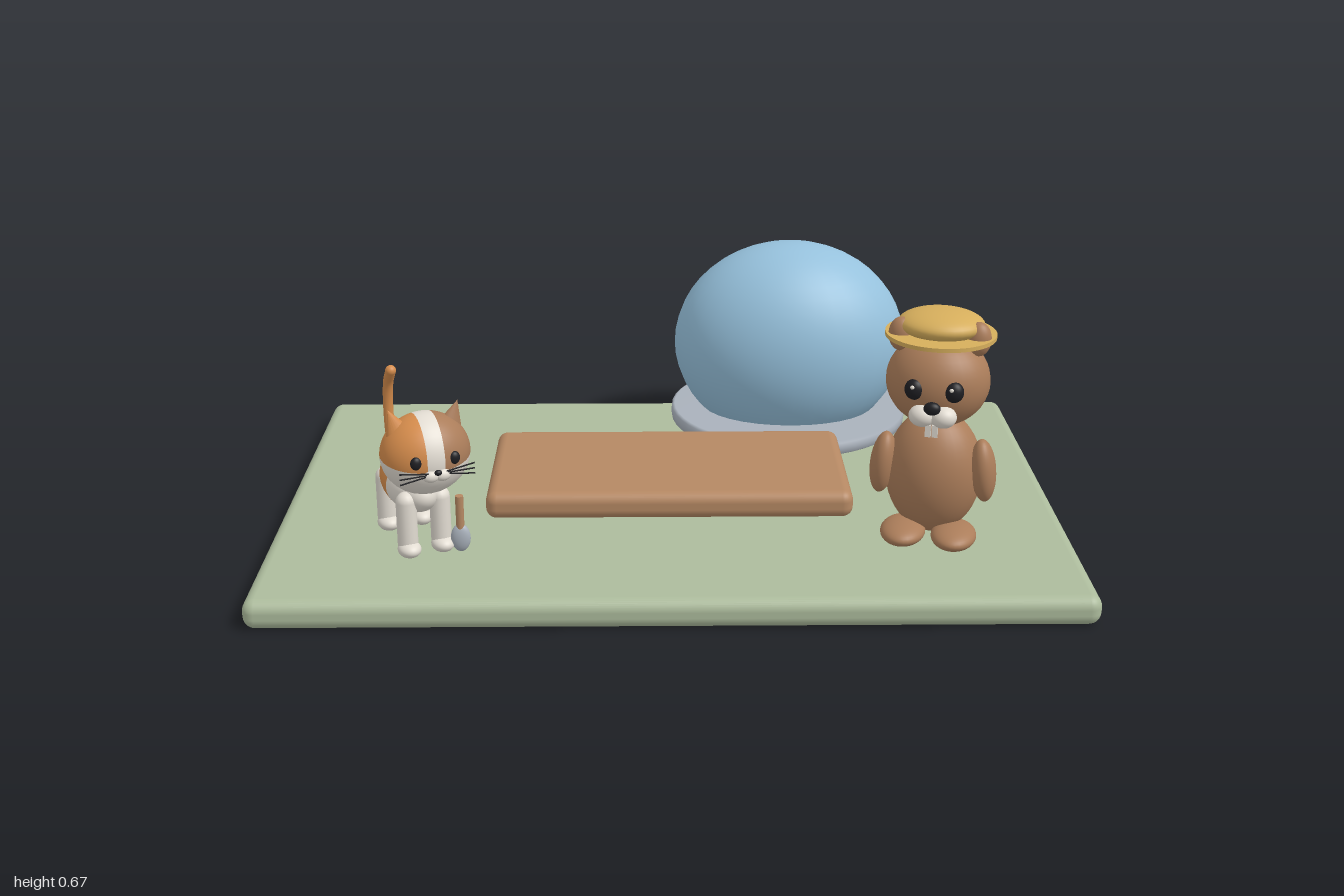
import * as THREE from 'three';
import { RoundedBoxGeometry } from 'three/addons/geometries/RoundedBoxGeometry.js';

const mat = (name, color) => {
  const m = new THREE.MeshStandardMaterial({ color });
  m.name = name;
  return m;
};

export function createModel() {
  const green = mat('sage green', 0xacbb9c);
  const wood = mat('wood brown', 0xb58863);
  const fur = mat('fur brown', 0xab7d5a);
  const blue = mat('sky blue', 0x96c1dc);
  const grey = mat('cool grey', 0xa9b1bb);
  const straw = mat('straw yellow', 0xd6ae5c);
  const orange = mat('orange', 0xd58c4c);
  const white = mat('warm white', 0xe2dcd2);
  const black = mat('black', 0x1e1e22);

  const add = (parent, name, geo, m, p = [0, 0, 0], s = [1, 1, 1], r = [0, 0, 0]) => {
    const mesh = new THREE.Mesh(geo, m);
    mesh.name = name;
    mesh.position.set(...p);
    mesh.scale.set(...s);
    mesh.rotation.set(...r);
    parent.add(mesh);
    return mesh;
  };
  const ball = new THREE.SphereGeometry(1, 32, 24);
  const blob = (parent, name, m, p, s, r) => add(parent, name, ball, m, p, s, r);
  const group = (parent, name, p, ry = 0) => {
    const g = new THREE.Group();
    g.name = name;
    g.position.set(...p);
    g.rotation.y = ry;
    parent.add(g);
    return g;
  };
  const model = new THREE.Group();
  model.name = 'scene';

  // Ground slab and wooden platform
  add(model, 'ground', new RoundedBoxGeometry(2, 0.074, 1.33, 4, 0.03), green, [0, 0.037, 0.095]);
  add(model, 'platform', new RoundedBoxGeometry(0.934, 0.072, 0.456, 4, 0.028), wood, [-0.003, 0.117, 0.094]);

  // Dome on a round plinth with softened rims
  const rim = [[0, 0.08], [0.33, 0.08], [0.338, 0.085], [0.34, 0.1], [0.338, 0.115], [0.33, 0.12], [0, 0.12]]
    .map(([x, y]) => new THREE.Vector2(x, y));
  add(model, 'plinth', new THREE.LatheGeometry(rim, 48), grey, [0.35, 0, -0.427]);
  blob(model, 'dome', blue, [0.35, 0.312, -0.425], [0.33, 0.293, 0.248]);

  // Standing rodent with a straw hat
  const b = group(model, 'rodent', [0.645, 0, 0.41], -0.25);
  blob(b, 'body', fur, [0, 0.255, 0], [0.118, 0.158, 0.104]);
  blob(b, 'head', fur, [0, 0.497, 0.014], [0.125, 0.115, 0.11]);
  blob(b, 'tail', fur, [0, 0.175, -0.155], [0.07, 0.033, 0.112], [0.1, 0, 0]);
  for (const s of [-1, 1]) {
    blob(b, 'arm', fur, [s * 0.122, 0.277, 0.03], [0.031, 0.08, 0.042], [0, 0, s * 0.1]);
    blob(b, 'foot', fur, [s * 0.062, 0.115, 0.065], [0.055, 0.028, 0.08]);
    blob(b, 'ear', fur, [s * 0.092, 0.61, 0.03], [0.03, 0.042, 0.026]);
    blob(b, 'eye', black, [s * 0.046, 0.5, 0.108], [0.024, 0.026, 0.02]);
    blob(b, 'eyeGlint', white, [s * 0.046 - 0.004, 0.51, 0.127], [0.005, 0.005, 0.004]);
    blob(b, 'muzzle', white, [s * 0.024, 0.438, 0.115], [0.033, 0.027, 0.03]);
    add(b, 'tooth', new THREE.BoxGeometry(0.014, 0.03, 0.01), white, [s * 0.008, 0.406, 0.128]);
  }
  blob(b, 'nose', black, [0, 0.467, 0.143], [0.02, 0.016, 0.014]);
  add(b, 'hatBrim', new THREE.CylinderGeometry(0.133, 0.133, 0.01, 40), straw, [0, 0.608, 0]);
  blob(b, 'hatCrown', straw, [0, 0.633, 0], [0.104, 0.036, 0.094]);

  // Calico cat
  const c = group(model, 'cat', [-0.64, 0, 0.42], 0.42);
  // Body as a sphere with its pole forward: white chest, orange hindquarters
  const bodyPart = (name, m, t0, t1) => {
    const g = new THREE.SphereGeometry(1, 32, 16, 0, Math.PI * 2, t0, t1 - t0);
    g.rotateX(Math.PI / 2);
    add(c, name, g, m, [0, 0.235, -0.005], [0.066, 0.064, 0.138]);
  };
  bodyPart('chest', white, 0, 1.45);
  bodyPart('hindquarters', orange, 1.45, Math.PI);
  for (const s of [-1, 1]) {
    for (const z of [0.1, -0.075]) {
      add(c, 'leg', new THREE.CapsuleGeometry(0.025, 0.11, 6, 16), white, [s * 0.042, 0.172, z]);
      blob(c, 'paw', white, [s * 0.042, 0.107, z + 0.01], [0.028, 0.02, 0.034]);
    }
  }
  const tailPath = new THREE.CatmullRomCurve3(
    [[0, 0.25, -0.115], [0, 0.29, -0.155], [0, 0.37, -0.167], [0, 0.44, -0.155], [0, 0.482, -0.125]]
      .map(p => new THREE.Vector3(...p)));
  add(c, 'tail', new THREE.TubeGeometry(tailPath, 24, 0.013, 12), orange);
  blob(c, 'tailTip', orange, [0, 0.482, -0.125], [0.0135, 0.0135, 0.0135]);

  // Head patches: a sphere with its poles at the cheeks, split into bands
  const h = group(c, 'head', [0, 0.363, 0.14]);
  const patch = (name, m, p0, p1, t0, t1) => {
    const g = new THREE.SphereGeometry(1, 24, 16, p0, p1 - p0, t0, t1 - t0);
    g.rotateZ(-Math.PI / 2);
    add(h, name, g, m, [0, 0, 0], [0.108, 0.1, 0.092]);
  };
  const edge = 1.75, mid = Math.PI / 2, half = 0.2;
  patch('leftPatch', fur, -edge, edge, 0, mid - half);
  patch('blaze', white, -edge, edge, mid - half, mid + half);
  patch('rightPatch', orange, -edge, edge, mid + half, Math.PI);
  patch('jaw', white, edge, Math.PI * 2 - edge, 0, Math.PI);
  for (const s of [-1, 1]) {
    add(h, 'ear', new THREE.ConeGeometry(0.033, 0.068, 20), s > 0 ? fur : orange,
      [s * 0.073, 0.087, 0], [1, 1, 0.6], [0, 0, -s * 0.35]);
    blob(h, 'eye', black, [s * 0.046, 0.008, 0.08], [0.014, 0.016, 0.01]);
    blob(h, 'muzzle', white, [s * 0.014, -0.027, 0.086], [0.02, 0.015, 0.015]);
    for (const k of [-1, 0, 1]) {
      add(h, 'whisker', new THREE.CylinderGeometry(0.0018, 0.0018, 0.07, 6), black,
        [s * 0.056, -0.02 + k * 0.008, 0.094], [1, 1, 1], [0, 0, Math.PI / 2 + s * k * 0.15]);
    }
  }
  blob(h, 'nose', black, [0, -0.015, 0.1], [0.009, 0.007, 0.007]);

  // Small tool standing beside the cat
  const t = group(model, 'tool', [-0.512, 0, 0.51]);
  add(t, 'toolHandle', new THREE.CylinderGeometry(0.01, 0.01, 0.12, 16), wood, [0, 0.174, 0]);
  blob(t, 'toolHead', grey, [0, 0.124, 0], [0.024, 0.036, 0.014]);

  return model;
}
